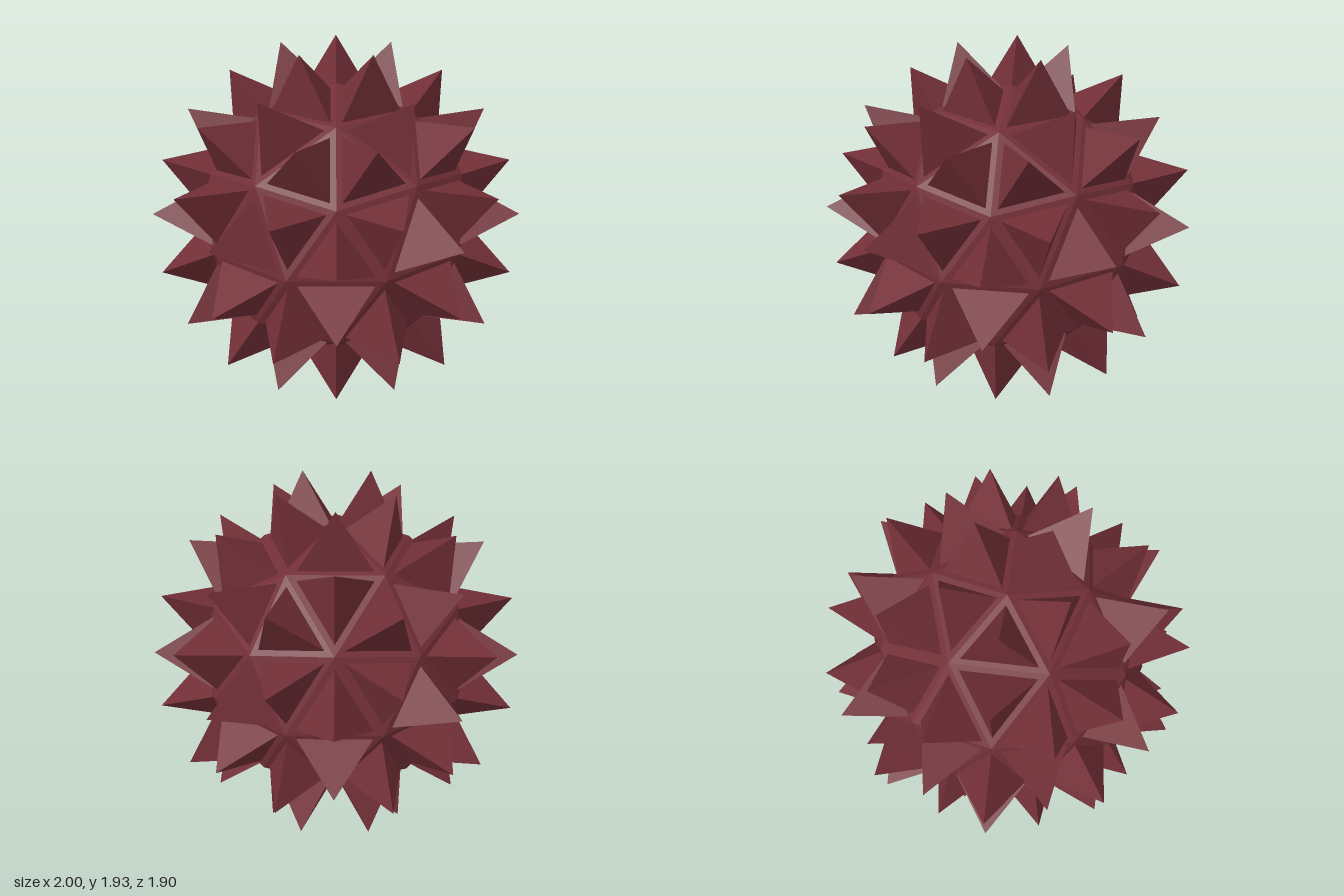
import * as THREE from 'three';

const CORE_RADIUS = 0.77;
const SPIKE_HEIGHT = 0.286;
const BASE_SCALE = 0.78; // spike base relative to the facet it stands on
const CENTRE_Y = 0.966;

export function createModel() {
  const group = new THREE.Group();
  group.name = 'spikedBall';
  const material = new THREE.MeshStandardMaterial({ color: 0x722f37, flatShading: true });

  // Faceted core: 80 triangles, turned so a five-sided corner points straight up
  const coreGeometry = new THREE.IcosahedronGeometry(CORE_RADIUS, 1);
  coreGeometry.rotateZ(-Math.atan(2 / (1 + Math.sqrt(5))));
  const core = new THREE.Mesh(coreGeometry, material);
  core.name = 'core';

  // One three-sided pyramid on every facet, inset to leave narrow ribs between them
  const points = [];
  const facets = coreGeometry.getAttribute('position');
  for (let i = 0; i < facets.count; i += 3) {
    const corners = [0, 1, 2].map((k) => new THREE.Vector3().fromBufferAttribute(facets, i + k));
    const centre = new THREE.Vector3();
    corners.forEach((c) => centre.addScaledVector(c, 1 / 3));
    const tip = centre.clone().setLength(centre.length() + SPIKE_HEIGHT);
    const base = corners.map((c) => centre.clone().lerp(c, BASE_SCALE));
    for (let k = 0; k < 3; k++) points.push(base[k], base[(k + 1) % 3], tip);
  }
  const spikeGeometry = new THREE.BufferGeometry().setFromPoints(points);
  spikeGeometry.computeVertexNormals();
  const spikes = new THREE.Mesh(spikeGeometry, material);
  spikes.name = 'spikes';

  group.add(core, spikes);
  group.children.forEach((part) => { part.position.y = CENTRE_Y; });
  return group;
}
